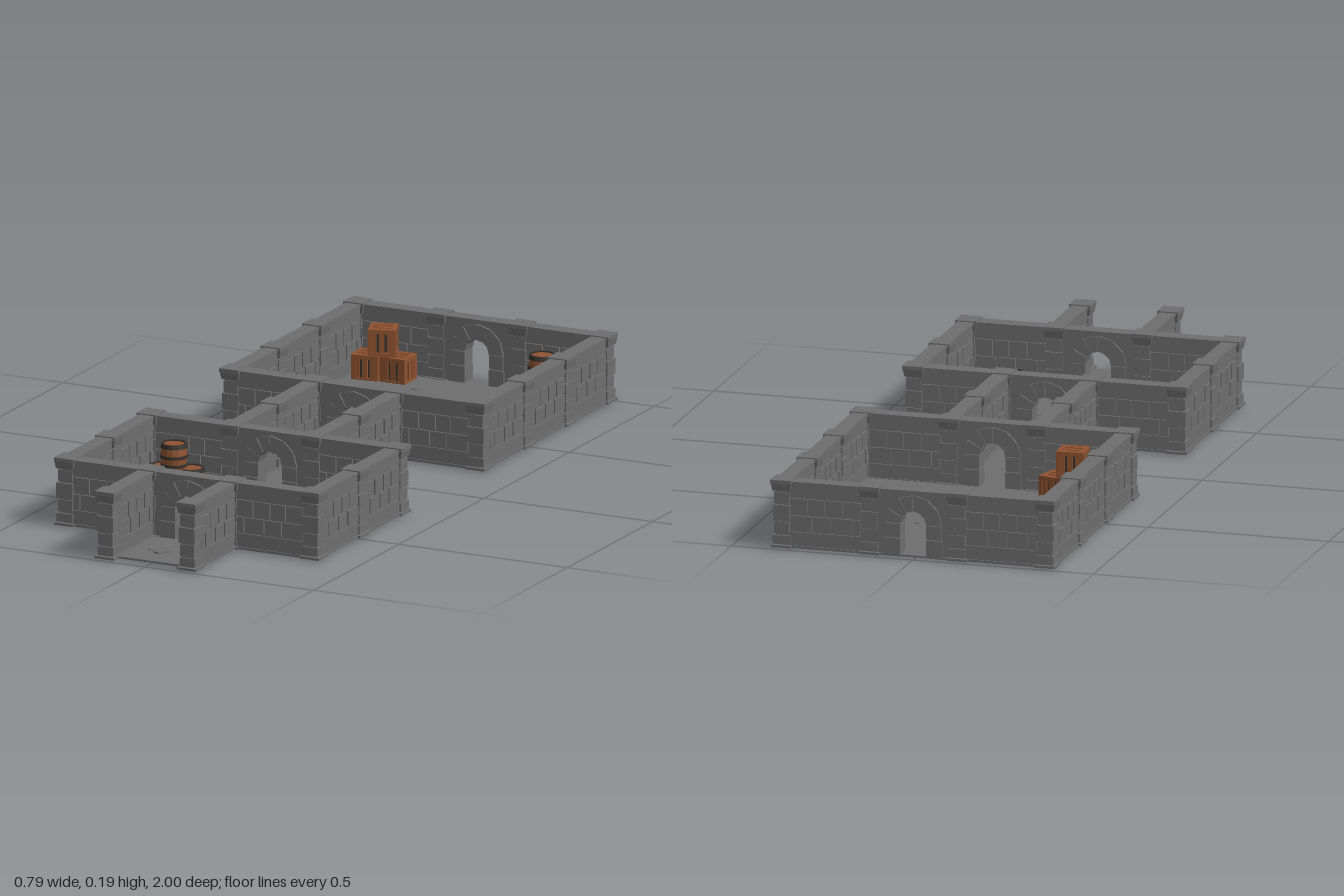
import * as THREE from 'three';

const mat = (name, color) => {
  const m = new THREE.MeshStandardMaterial({ color });
  m.name = name;
  return m;
};
const stone = mat('grey stone', 0x6e6e6e);
const wood = mat('brown wood', 0x8f5330);
const iron = mat('dark iron', 0x38322e);

const M = 0.2427; // grid module between pillars
const BASE = 0.004; // underside of barrels and crates, just below the floor plate

let seed = 7;
const rand = (a, b) => {
  seed = (seed * 16807) % 2147483647;
  return a + (b - a) * (seed / 2147483647);
};

function add(parent, name, geo, material, x = 0, y = 0, z = 0) {
  const m = new THREE.Mesh(geo, material);
  m.name = name;
  m.position.set(x, y, z);
  parent.add(m);
  return m;
}

// Box given by its centre in x and z, and its bottom and top in y
function block(parent, name, w, y0, y1, d, material = stone, x = 0, z = 0) {
  return add(parent, name, new THREE.BoxGeometry(w, y1 - y0, d), material, x, (y0 + y1) / 2, z);
}

function group(parent, name, x, y, z, angle = 0) {
  const g = new THREE.Group();
  g.name = name;
  g.position.set(x, y, z);
  g.rotation.y = angle;
  parent.add(g);
  return g;
}

// Faceted copy of a geometry
function faceted(geo) {
  const g = geo.toNonIndexed();
  g.computeVertexNormals();
  return g;
}

// Stacked stone pillar with a wider base and a tapered cap
function pillar(parent, x, z) {
  const g = group(parent, 'pillar', x, 0, z);
  block(g, 'pillarCore', 0.036, 0.006, 0.18, 0.036);
  block(g, 'pillarBase', 0.057, 0.005, 0.012, 0.057);
  const rows = [[0.014, 0.038, 0.047], [0.042, 0.074, 0.043], [0.078, 0.121, 0.048], [0.125, 0.156, 0.043]];
  for (const [y0, y1, w] of rows) {
    block(g, 'pillarBlock', w + rand(-0.002, 0.002), y0, y1, w + rand(-0.002, 0.002));
  }
  const neck = faceted(new THREE.CylinderGeometry(0.056 / Math.SQRT2, 0.049 / Math.SQRT2, 0.02, 4).rotateY(Math.PI / 4));
  add(g, 'pillarNeck', neck, stone, 0, 0.17, 0);
  block(g, 'pillarCap', 0.058, 0.18, 0.19, 0.058);
}

// Solid wall: two rows of bricks between plain bands
function brickWall(parent, x, z, angle) {
  const g = group(parent, 'wall', x, 0, z, angle);
  block(g, 'wallCore', M, 0.008, 0.18, 0.03);
  block(g, 'wallFoot', M, 0.005, 0.012, 0.044);
  block(g, 'lowerBand', M, 0.012, 0.049, 0.038);
  block(g, 'upperBand', M, 0.145, 0.178, 0.038);
  block(g, 'wallCoping', M, 0.178, 0.187, 0.044);
  [[0.053, 0.094, [0, 0.12, 0.42, 0.68, 1]], [0.098, 0.141, [0, 0.26, 0.51, 0.74, 1]]].forEach(([y0, y1, cuts]) => {
    const L = M - 0.044;
    for (let i = 0; i < cuts.length - 1; i++) {
      const w = (cuts[i + 1] - cuts[i]) * L;
      const cx = (cuts[i] + cuts[i + 1] - 1) / 2 * L;
      block(g, 'brick', w - 0.005, y0, y1, 0.039 + rand(0, 0.003), stone, cx);
    }
  });
}

// Extrude centred on z
function slab(shape, depth) {
  return new THREE.ExtrudeGeometry(shape, { depth, bevelEnabled: false, curveSegments: 10 }).translate(0, 0, -depth / 2);
}

// Wall with an arched doorway framed by jamb blocks and arch stones
function archWall(parent, x, z) {
  const g = group(parent, 'archWall', x, 0, z);
  const r = 0.036, R = 0.079, cy = 0.096, h = M / 2;
  const s = new THREE.Shape();
  s.moveTo(-h, 0.008);
  s.lineTo(-r - 0.002, 0.008);
  s.lineTo(-r - 0.002, cy);
  s.absarc(0, cy, r + 0.002, Math.PI, 0, true);
  s.lineTo(r + 0.002, 0.008);
  s.lineTo(h, 0.008);
  s.lineTo(h, 0.18);
  s.lineTo(-h, 0.18);
  add(g, 'archWallPanel', slab(s, 0.038), stone);
  block(g, 'wallCoping', M, 0.178, 0.187, 0.044);
  for (const side of [-1, 1]) {
    block(g, 'jambLower', 0.044, 0.006, 0.055, 0.05, stone, side * 0.058);
    block(g, 'jambUpper', 0.041, 0.058, cy - 0.001, 0.047, stone, side * 0.0565);
    block(g, 'wallFoot', 0.05, 0.005, 0.012, 0.044, stone, side * 0.092);
  }
  const n = 6;
  for (let i = 0; i < n; i++) {
    const a = (i / n) * Math.PI + 0.012, b = ((i + 1) / n) * Math.PI - 0.012;
    const v = new THREE.Shape();
    v.moveTo(r * Math.cos(a), cy + r * Math.sin(a));
    v.lineTo(R * Math.cos(a), cy + R * Math.sin(a));
    v.lineTo(R * Math.cos(b), cy + R * Math.sin(b));
    v.lineTo(r * Math.cos(b), cy + r * Math.sin(b));
    add(g, 'archStone', slab(v, i % 2 ? 0.047 : 0.05), stone);
  }
}

// Floor plate with scattered flat stones set through it
function floor(parent, x0, x1, z0, z1, count) {
  const cx = (x0 + x1) / 2, cz = (z0 + z1) / 2;
  block(parent, 'floor', x1 - x0, 0.005, 0.01, z1 - z0, stone, cx, cz);
  for (let i = 0; i < count; i++) {
    const bottom = i % 5 ? 0.004 : 0, top = rand(0.0115, 0.014);
    const geo = faceted(new THREE.CylinderGeometry(0.9, 1, top - bottom, 5 + (i % 3)));
    const m = add(parent, 'floorStone', geo, stone, rand(x0 + 0.08, x1 - 0.08), (top + bottom) / 2, rand(z0 + 0.08, z1 - 0.08));
    m.scale.set(rand(0.012, 0.028), 1, rand(0.011, 0.022));
    m.rotation.y = rand(0, 6);
  }
}

const H = 0.07; // barrel height
const barrelProfile = [[0, 0], [0.03, 0], [0.0335, 0.015], [0.0355, 0.035], [0.0335, 0.055], [0.0315, 0.066], [0.0285, 0.067], [0, 0.067]]
  .map(([a, b]) => new THREE.Vector2(a, b));
// Closed cross-section of the top rim, which stands up around the lid
const rimProfile = [[0.029, 0.064], [0.0335, 0.058], [0.036, 0.058], [0.034, H], [0.029, H], [0.029, 0.064]]
  .map(([a, b]) => new THREE.Vector2(a, b));

function barrel(parent, x, y, z) {
  const g = group(parent, 'barrel', x, y, z, rand(0, 6));
  add(g, 'barrelBody', faceted(new THREE.LatheGeometry(barrelProfile, 14)), wood);
  add(g, 'barrelRim', faceted(new THREE.LatheGeometry(rimProfile, 14)), iron);
  for (const [yy, r] of [[0.011, 0.0355], [0.035, 0.038]]) {
    add(g, 'barrelHoop', new THREE.CylinderGeometry(r, r, 0.008, 14), iron, 0, yy, 0);
  }
}

// Slatted crate with a frame on every edge
function crate(parent, x, y, z, angle) {
  const g = group(parent, 'crate', x, y, z, angle);
  const S = 0.074, t = 0.011, e = S / 2 - t / 2;
  block(g, 'crateInside', S - 0.014, 0.007, S - 0.007, S - 0.014, iron);
  for (const a of [-e, e]) for (const b of [-e, e]) {
    block(g, 'cratePost', t, 0, S, t, wood, a, b);
    block(g, 'crateRail', S - 2 * t, S / 2 + a - t / 2, S / 2 + a + t / 2, t, wood, 0, b);
    block(g, 'crateRail', t, S / 2 + a - t / 2, S / 2 + a + t / 2, S - 2 * t, wood, b, 0);
  }
  for (const i of [-1, 0, 1]) {
    const w = i ? 0.012 : 0.015;
    block(g, 'topSlat', S - 0.004, 0.001, S - 0.001, w, wood, 0, i * 0.0205);
    block(g, 'sideSlat', w, 0.003, S - 0.003, S - 0.005, wood, i * 0.0205);
    block(g, 'sideSlat', S - 0.005, 0.003, S - 0.003, w, wood, 0, i * 0.0205);
  }
}

export function createModel() {
  const root = new THREE.Group();
  root.name = 'dungeon';
  const pillars = new Set();
  const mark = (i, k) => pillars.add(`${i},${k}`);

  const sideWalls = (i, k0, k1) => {
    for (const s of [-i, i]) {
      for (let k = k0; k <= k1; k++) mark(s, k);
      for (let k = k0; k < k1; k++) brickWall(root, s * M, (k + 0.5) * M, s > 0 ? Math.PI / 2 : -Math.PI / 2);
    }
  };
  // Rooms three modules wide, from row k0 to row k1, with an arch in both end walls
  const room = (k0, k1) => {
    for (const k of [k0, k1]) {
      for (const i of [-1.5, -0.5, 0.5, 1.5]) mark(i, k);
      for (const i of [-1, 1]) brickWall(root, i * M, k * M, 0);
      archWall(root, 0, k * M);
    }
    sideWalls(1.5, k0, k1);
  };
  room(-4, -1);
  room(1, 3);
  sideWalls(0.5, -1, 1);
  sideWalls(0.5, 3, 4);
  for (const p of pillars) {
    const [i, k] = p.split(',').map(Number);
    pillar(root, i * M, k * M);
  }

  // Floors
  const w = 1.5 * M + 0.019;
  floor(root, -w, w, -4 * M - 0.019, -M + 0.019, 22);
  floor(root, -w, w, M - 0.019, 3 * M + 0.019, 15);
  floor(root, -M / 2, M / 2, -M + 0.019, M - 0.019, 7);
  floor(root, -M / 2, M / 2, 3 * M + 0.019, 4 * M, 4);

  // Barrels: stacks of three with one on top, and two single ones
  const stacks = [
    [[-0.29, 0.322], [-0.21, 0.31], [-0.24, 0.385], [-0.247, 0.34]],
    [[0.2, -0.9], [0.28, -0.885], [0.225, -0.822], [0.235, -0.867]],
    [[0.28, 0.57], [0.225, 0.655]],
  ];
  for (const s of stacks) s.forEach(([x, z], i) => barrel(root, x, BASE + (i === 3 ? H : 0), z));

  // Crates: two on the floor and one on top
  const crates = [
    [-0.288, 0, -0.885, 0.12], [-0.205, 0, -0.893, 0], [-0.248, 0.074, -0.889, 0.35],
    [-0.286, 0, -0.342, -0.15], [-0.2, 0, -0.328, -0.25], [-0.243, 0.074, -0.332, 0.05],
  ];
  for (const [x, y, z, angle] of crates) crate(root, x, BASE + y, z, angle);
  return root;
}
